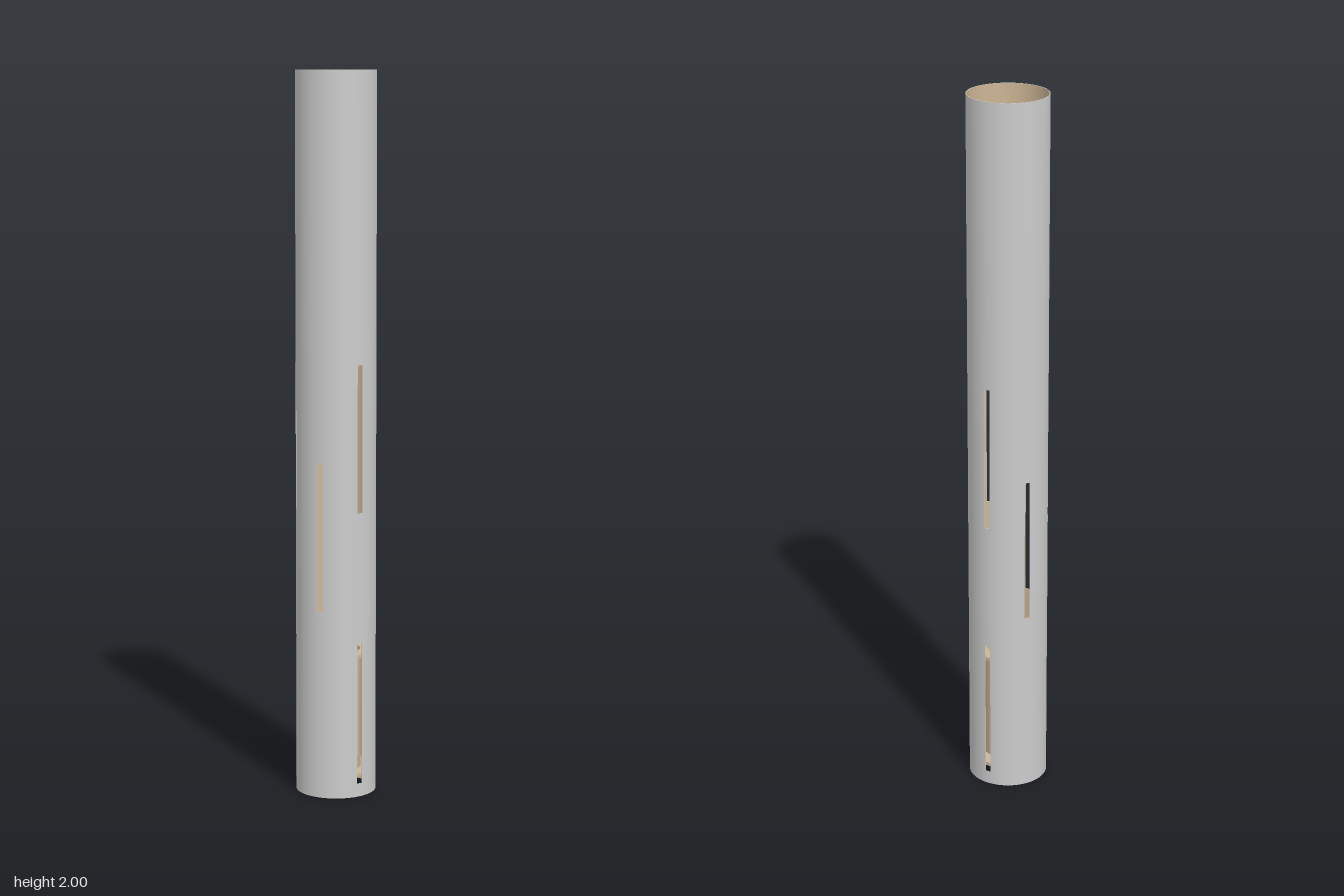
import * as THREE from 'three';
import { mergeGeometries } from 'three/addons/utils/BufferGeometryUtils.js';

const RO = 0.111, RI = 0.109;      // shell radii
const SLOT = 0.074;                // half angle of a slot

// One straight profile segment swept around y
function sweep(a, b, start, length) {
  const segs = Math.max(2, Math.ceil(length / (Math.PI * 2) * 72));
  return new THREE.LatheGeometry([new THREE.Vector2(...a), new THREE.Vector2(...b)], segs, start, length);
}

// Closed ring built from a counter-clockwise profile with sharp edges
function ring(ri, ro, y0, y1) {
  const p = [[ri, y0], [ro, y0], [ro, y1], [ri, y1]];
  return mergeGeometries(p.map((a, i) => sweep(a, p[(i + 1) % 4], 0, Math.PI * 2)));
}

export function createModel() {
  const group = new THREE.Group();
  const grey = new THREE.MeshStandardMaterial({ color: 0xcccccc, side: THREE.DoubleSide });
  const tan = new THREE.MeshStandardMaterial({ color: 0xccb594, side: THREE.DoubleSide });
  const add = (name, geometry, material) => {
    const mesh = new THREE.Mesh(geometry, material);
    mesh.name = name;
    group.add(mesh);
  };

  // Shell: full-height panels alternate with narrow columns broken by slots
  const outer = [], inner = [];
  const piece = (y0, y1, start, length) => {
    outer.push(sweep([RO, y0], [RO, y1], start, length));
    outer.push(sweep([RI, y0], [RO, y0], start, length));
    outer.push(sweep([RO, y1], [RI, y1], start, length));
    inner.push(sweep([RI, y1], [RI, y0], start, length));
  };
  // Thin side wall of a slot
  const cheek = (y0, y1, angle) => {
    const g = new THREE.PlaneGeometry(RO - RI, y1 - y0);
    g.translate((RO + RI) / 2, (y0 + y1) / 2, 0);
    g.rotateY(angle - Math.PI / 2);
    outer.push(g);
  };
  for (let i = 0; i < 6; i++) {
    const angle = i * Math.PI / 3;
    const slots = i % 2 === 0 ? [[0.037, 0.437], [0.8, 1.208]] : [[0.527, 0.937]];
    piece(0, 2, angle + SLOT, Math.PI / 3 - 2 * SLOT);
    let y = 0;
    for (const [y0, y1] of slots) {
      piece(y, y0, angle - SLOT, 2 * SLOT);
      cheek(y0, y1, angle - SLOT);
      cheek(y0, y1, angle + SLOT);
      y = y1;
    }
    piece(y, 2, angle - SLOT, 2 * SLOT);
  }
  add('slottedTube', mergeGeometries(outer), grey);
  add('tubeLining', mergeGeometries(inner), tan);

  // Inner motor mount: core tube held by two centring rings
  add('coreTube', ring(0.067, 0.069, 0.055, 0.402), tan);
  add('lowerCentringRing', ring(0.067, RI, 0.055, 0.065), tan);
  add('upperCentringRing', ring(0.067, RI, 0.392, 0.402), tan);
  return group;
}
